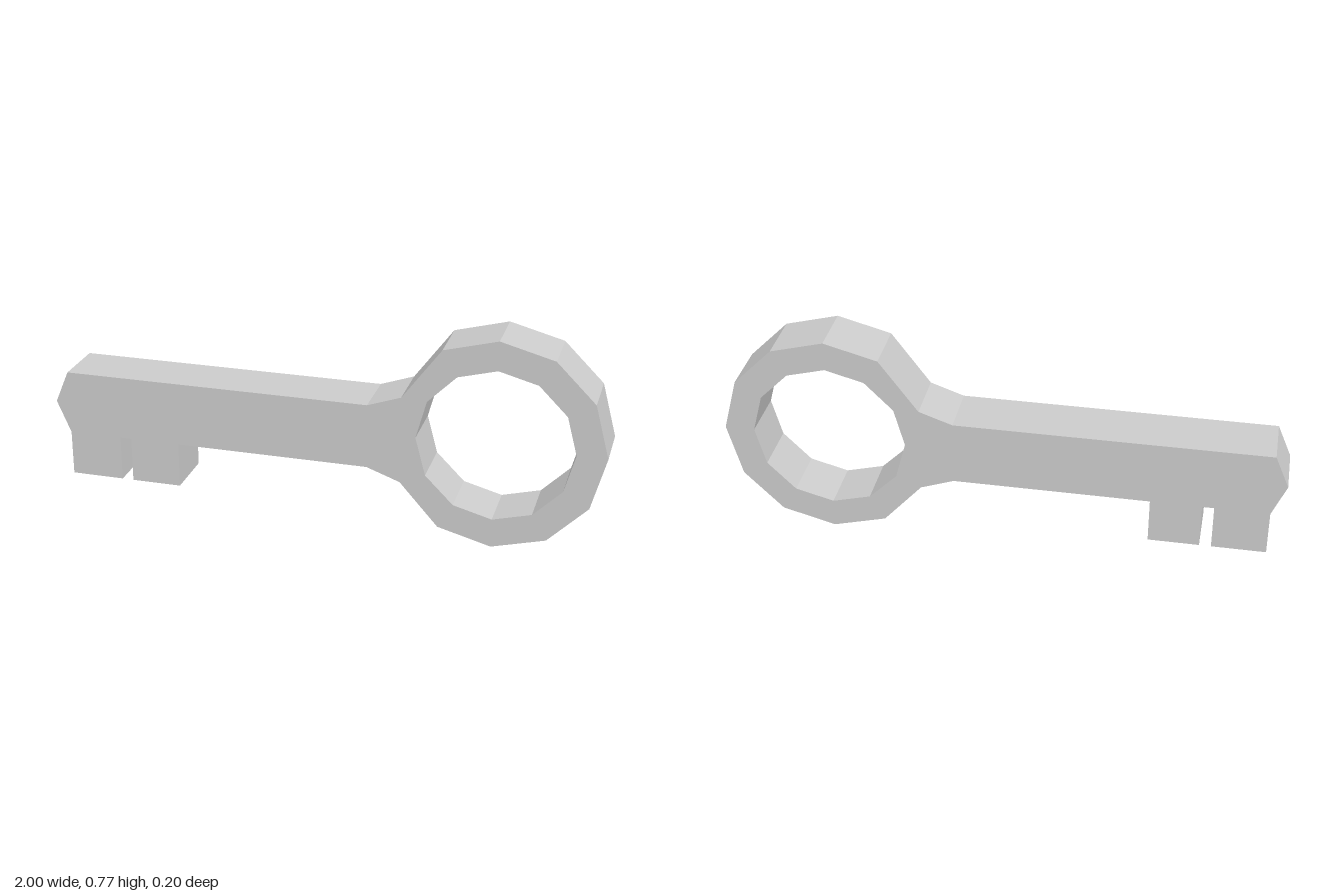
import * as THREE from 'three';

const DEPTH = 0.2;
const CX = 0.617, CY = 0.383; // centre of the ring
const OUTER = 0.383, INNER = 0.277;

// Point on a twelve-sided ring, step 0 pointing to +x
function ringPoint(radius, step) {
  const a = (step * Math.PI) / 6;
  return new THREE.Vector2(CX + radius * Math.cos(a), CY + radius * Math.sin(a));
}

export function createModel() {
  const group = new THREE.Group();
  group.name = 'key';

  // Bow: outer ring, counter-clockwise from lower left to upper left
  const outline = [];
  for (let i = -4; i <= 4; i++) outline.push(ringPoint(OUTER, i));

  // Neck, shank, pointed tip and the two teeth of the bit
  const shank = [
    [0.287, 0.527], [0.167, 0.485],
    [-0.95, 0.485], [-1, 0.368], [-0.95, 0.25],
    [-0.95, 0.085], [-0.757, 0.085], [-0.757, 0.25],
    [-0.715, 0.25], [-0.715, 0.085], [-0.533, 0.085], [-0.533, 0.25],
    [0.167, 0.25], [0.287, 0.207],
  ];
  for (const [x, y] of shank) outline.push(new THREE.Vector2(x, y));

  // Finger hole through the bow
  const shape = new THREE.Shape(outline);
  const hole = [];
  for (let i = 0; i < 12; i++) hole.push(ringPoint(INNER, -i));
  shape.holes.push(new THREE.Path(hole));

  const geometry = new THREE.ExtrudeGeometry(shape, { depth: DEPTH, bevelEnabled: false });
  geometry.translate(0, 0, -DEPTH / 2);

  const body = new THREE.Mesh(
    geometry,
    new THREE.MeshStandardMaterial({ color: 0xcccccc, flatShading: true })
  );
  body.name = 'keyBody';
  group.add(body);
  return group;
}
